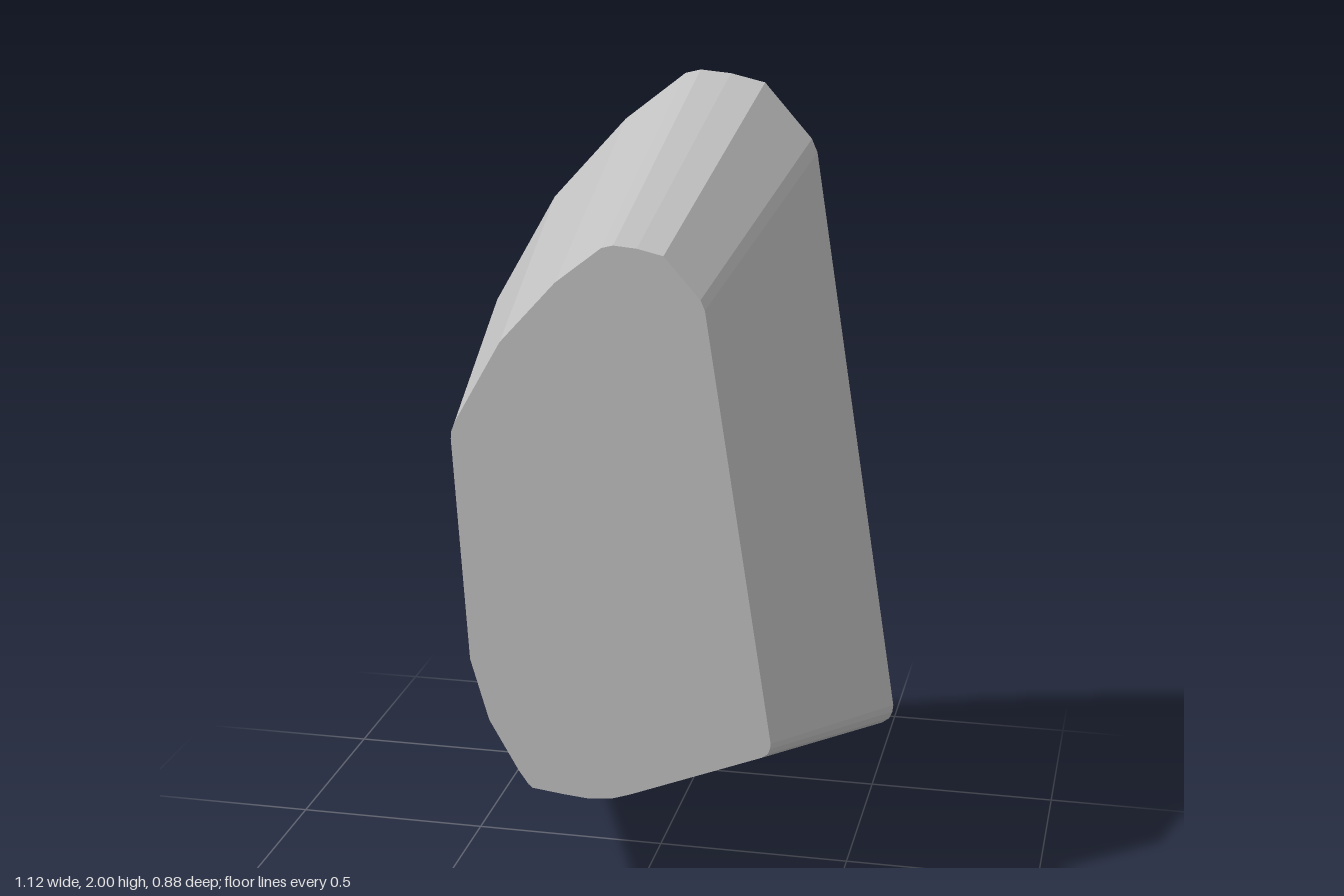
import * as THREE from 'three';

// Outline of the broad back face, counter-clockwise seen from the front
const OUTLINE = [
  [0.56, 0.27], [0.558, 0.25], [0.55, 0.23], [0.53, 0.215], // lower left corner
  [0.06, 0.03], [0.0, 0.01], [-0.09, 0.0], [-0.18, 0.008], // base
  [-0.295, 0.022], [-0.31, 0.035], [-0.345, 0.085], [-0.45, 0.27], [-0.515, 0.495], // lower right
  [-0.565, 1.3], [-0.563, 1.325], [-0.55, 1.36], // shoulder
  [-0.385, 1.65], [-0.19, 1.865], [-0.03, 1.99], [0.01, 2.0], // slope to the peak
  [0.09, 1.993], [0.18, 1.972], [0.305, 1.83], [0.32, 1.795],
];
const DEPTH = 0.88;
const FRONT_SCALE = 0.7;
const FRONT_SHIFT = new THREE.Vector2(-0.0245, 0.32);

export function createModel() {
  const stone = new THREE.MeshStandardMaterial({ color: 0xc0c0c0 });
  stone.name = 'stone grey';

  const shape = new THREE.Shape(OUTLINE.map(([x, y]) => new THREE.Vector2(x, y)));
  const geometry = new THREE.ExtrudeGeometry(shape, { depth: DEPTH, bevelEnabled: false });

  // Taper the block towards the smaller front face
  const pos = geometry.attributes.position;
  for (let i = 0; i < pos.count; i++) {
    const t = pos.getZ(i) / DEPTH;
    const s = THREE.MathUtils.lerp(1, FRONT_SCALE, t);
    pos.setXYZ(
      i,
      pos.getX(i) * s + FRONT_SHIFT.x * t,
      pos.getY(i) * s + FRONT_SHIFT.y * t,
      pos.getZ(i) - DEPTH / 2,
    );
  }
  geometry.computeVertexNormals(); // unshared corners keep every facet flat

  const block = new THREE.Mesh(geometry, stone);
  block.name = 'taperedStone';

  const group = new THREE.Group();
  group.name = 'stone';
  group.add(block);
  return group;
}
